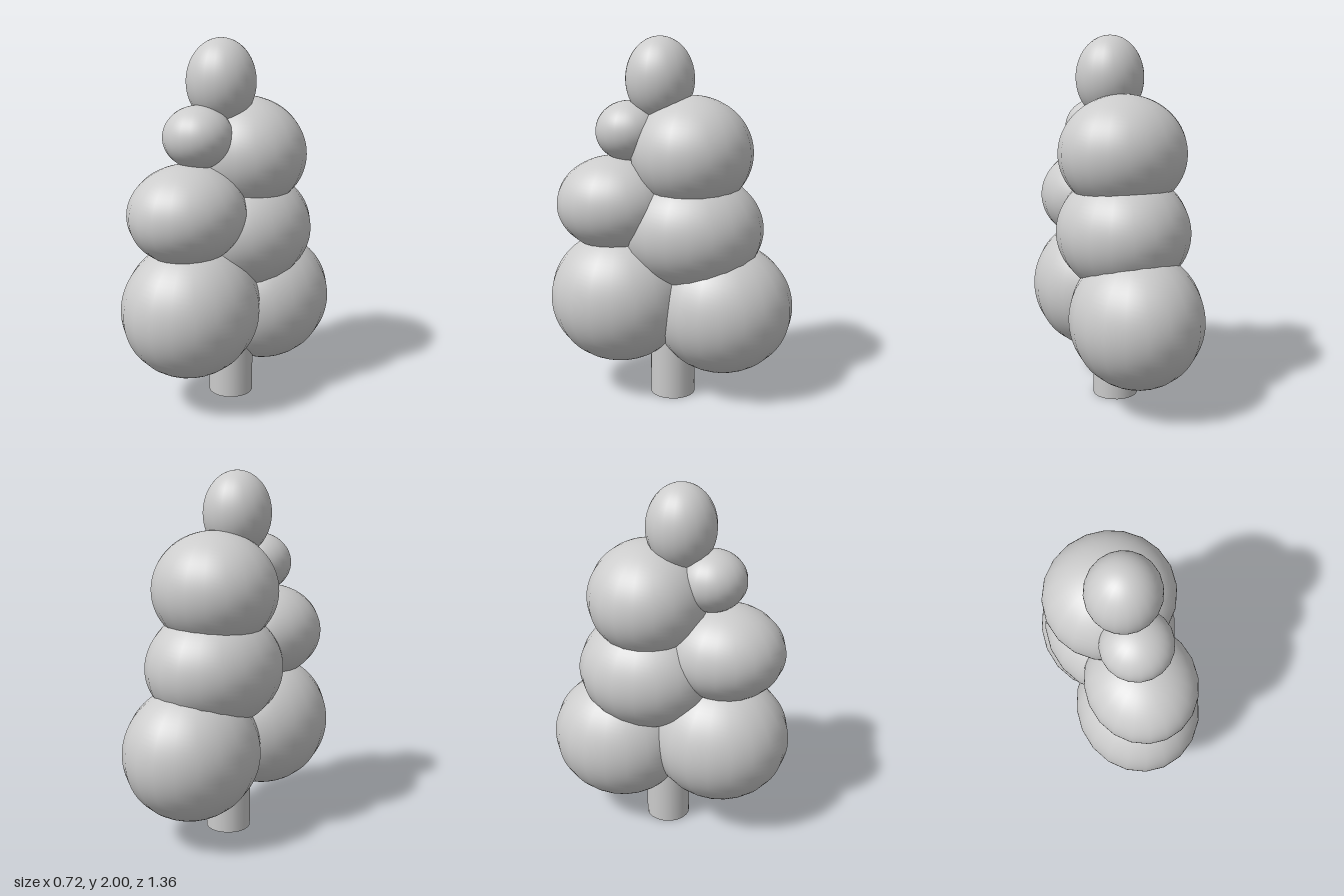
import * as THREE from 'three';

export function createModel() {
  const tree = new THREE.Group();
  tree.name = 'tree';
  const material = new THREE.MeshStandardMaterial({ color: 0xcccccc });

  // Trunk, running up into the foliage
  const trunk = new THREE.Mesh(new THREE.CylinderGeometry(0.126, 0.126, 0.8, 20), material);
  trunk.name = 'trunk';
  trunk.position.set(0, 0.4, -0.01);
  tree.add(trunk);

  // Foliage: overlapping ellipsoids as [name, centre y, centre z, radius x, y, z]
  const clumps = [
    ['lowerFrontFoliage', 0.572, 0.287, 0.357, 0.375, 0.392],
    ['lowerBackFoliage', 0.513, -0.287, 0.357, 0.373, 0.393],
    ['middleBackFoliage', 0.957, -0.115, 0.36, 0.33, 0.395],
    ['middleFrontFoliage', 1.1, 0.305, 0.3, 0.266, 0.33],
    ['upperBackFoliage', 1.378, -0.112, 0.35, 0.313, 0.335],
    ['upperFrontFoliage', 1.498, 0.226, 0.187, 0.165, 0.187],
    ['topFoliage', 1.774, 0.06, 0.187, 0.226, 0.187],
  ];
  const ball = new THREE.SphereGeometry(1, 20, 40);
  for (const [name, y, z, rx, ry, rz] of clumps) {
    const clump = new THREE.Mesh(ball, material);
    clump.name = name;
    clump.position.set(0, y, z);
    clump.scale.set(rx, ry, rz);
    tree.add(clump);
  }
  return tree;
}
